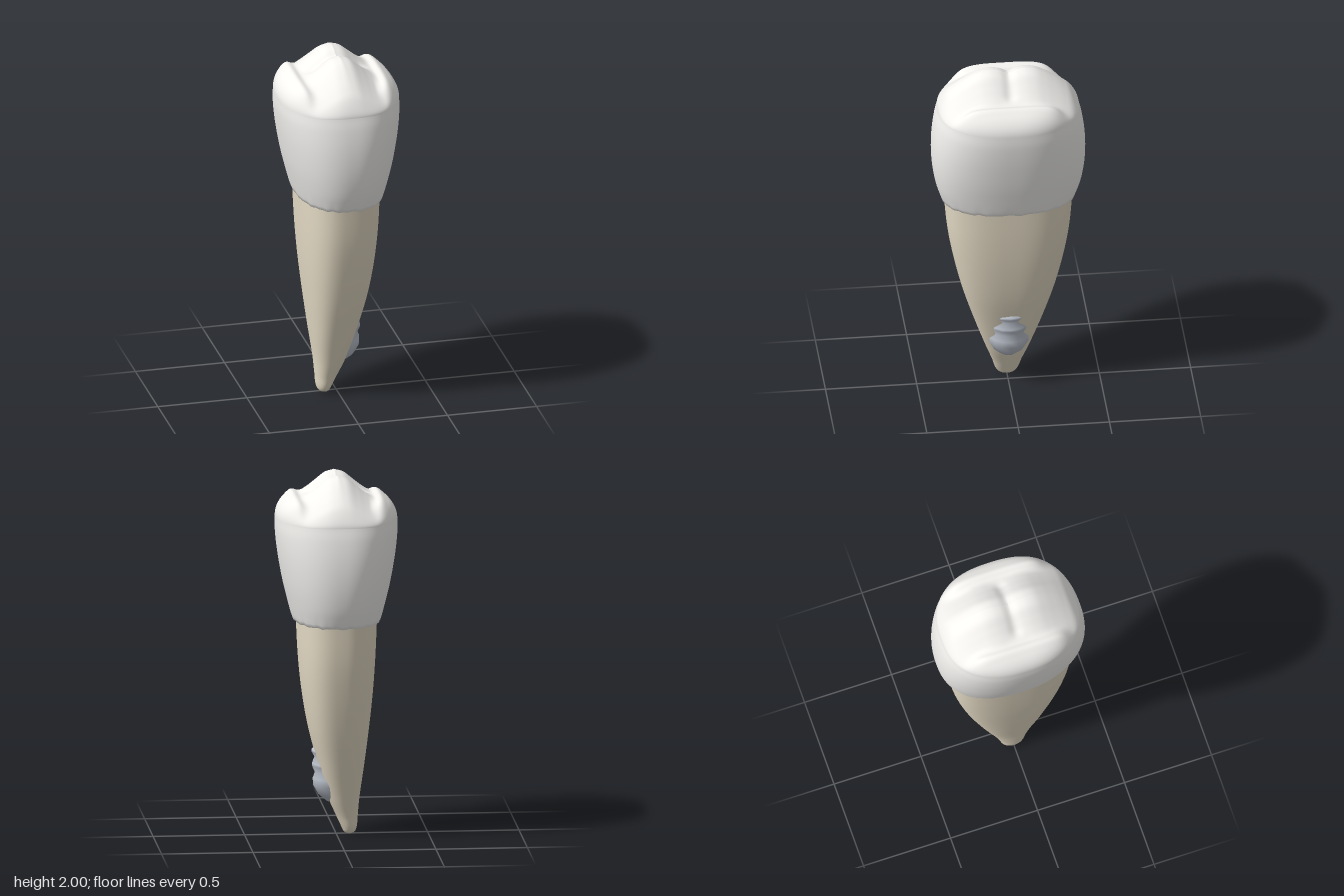
import * as THREE from 'three';

// Smooth interpolation through a short list of [position, value...] rows
function sample(rows, t, k = 1) {
  const n = rows.length - 1;
  if (t <= rows[0][0]) return rows[0][k];
  if (t >= rows[n][0]) return rows[n][k];
  let i = 0;
  while (t > rows[i + 1][0]) i++;
  const slope = (j) => {
    const a = rows[Math.max(j - 1, 0)], b = rows[Math.min(j + 1, n)];
    return (b[k] - a[k]) / (b[0] - a[0]);
  };
  const h = rows[i + 1][0] - rows[i][0], u = (t - rows[i][0]) / h;
  const u2 = u * u, u3 = u2 * u;
  return (2 * u3 - 3 * u2 + 1) * rows[i][k] + (u3 - 2 * u2 + u) * h * slope(i)
    + (3 * u2 - 2 * u3) * rows[i + 1][k] + (u3 - u2) * h * slope(i + 1);
}

// Point on a rounded (superelliptic) outline
function outline(th, rx, rz, e) {
  const c = Math.cos(th), s = Math.sin(th);
  return [Math.sign(c) * rx * Math.abs(c) ** (2 / e), Math.sign(s) * rz * Math.abs(s) ** (2 / e)];
}

// Closed skin over rings; point(ring, angle) gives [x, y, z], rings run upward
function skin(ringCount, seg, point) {
  const pos = [], idx = [];
  for (let i = 0; i < ringCount; i++) {
    for (let j = 0; j < seg; j++) pos.push(...point(i, (j / seg) * Math.PI * 2));
  }
  for (let i = 0; i < ringCount - 1; i++) {
    for (let j = 0; j < seg; j++) {
      const a = i * seg + j, b = i * seg + ((j + 1) % seg);
      idx.push(a, a + seg, b, b, a + seg, b + seg);
    }
  }
  const g = new THREE.BufferGeometry();
  g.setAttribute('position', new THREE.Float32BufferAttribute(pos, 3));
  g.setIndex(idx);
  g.computeVertexNormals();
  return g;
}

function mesh(name, geometry, color) {
  const m = new THREE.Mesh(geometry, new THREE.MeshStandardMaterial({ color }));
  m.name = name;
  return m;
}

// Root: y, left edge, right edge, half depth
const ROOT = [
  [0, -0.075, -0.065, 0.01], [0.008, -0.098, -0.045, 0.04], [0.035, -0.112, -0.03, 0.062],
  [0.1, -0.118, 0, 0.082], [0.2, -0.126, 0.043, 0.118], [0.4, -0.152, 0.102, 0.186],
  [0.6, -0.176, 0.153, 0.248], [0.8, -0.196, 0.186, 0.297], [1.0, -0.209, 0.205, 0.332],
  [1.25, -0.219, 0.216, 0.353],
];

function rootGeometry() {
  const n = 70;
  return skin(n, 80, (i, th) => {
    const y = 1.25 * (i / (n - 1)) ** 1.6;
    const l = sample(ROOT, y, 1), r = sample(ROOT, y, 2);
    const e = 2.1 + 0.6 * THREE.MathUtils.smoothstep(y, 0, 0.4);
    const [x, z] = outline(th, (r - l) / 2, sample(ROOT, y, 3), e);
    return [(l + r) / 2 + x, y, z];
  });
}

// Crown wall: y, half width, half depth
const WALL = [
  [1.2, 0.237, 0.364], [1.22, 0.244, 0.372], [1.3, 0.265, 0.397], [1.4, 0.289, 0.414],
  [1.5, 0.308, 0.42], [1.6, 0.323, 0.416], [1.7, 0.332, 0.402], [1.76, 0.331, 0.387],
];
// Relative chewing-surface height across the width, along the cusps and along the side ridges
const ACROSS = [
  [0, 1], [0.05, 0.95], [0.1, 0.82], [0.15, 0.69], [0.195, 0.61], [0.235, 0.645], [0.27, 0.6], [0.33, 0.52],
];
const CUSPS = [
  [0, 0.98], [0.05, 0.988], [0.1, 1], [0.15, 0.97], [0.2, 0.89], [0.25, 0.79], [0.3, 0.69], [0.345, 0.6], [0.4, 0.4],
];
const RIDGES = [[0, 1], [0.18, 1], [0.24, 0.94], [0.3, 0.72], [0.345, 0.6], [0.4, 0.4]];

function crownGeometry() {
  const lip = 2, wall = 28, top = 60;
  return skin(lip + wall + top, 128, (i, th) => {
    const wave = 0.002 * Math.sin(th * 17) + 0.002 * Math.sin(th * 29 + 1);
    // Lip folding in under the crown to meet the root
    if (i < lip) {
      const k = 0.85 + 0.1 * i;
      const [x, z] = outline(th, 0.237 * k, 0.364 * k, 2.3);
      return [x, 1.206 - 0.004 * i + wave, z];
    }
    if (i < lip + wall) {
      const t = (i - lip) / (wall - 1), y = 1.2 + 0.56 * t;
      const [x, z] = outline(th, sample(WALL, y, 1), sample(WALL, y, 2), 2.3 + 0.1 * t);
      return [x, y + wave * Math.max(0, 1 - t * 8), z];
    }
    // Chewing surface: two cusps, cross groove and side ridges
    const s = Math.cos(((i - lip - wall + 1) / top) * Math.PI / 2);
    const [x, z] = outline(th, 0.331 * s, 0.387 * s, 2.4);
    const ax = Math.abs(x), az = Math.abs(z);
    const groove = 0.065 * Math.exp(-((az / 0.035) ** 2)) * (1 - THREE.MathUtils.smoothstep(ax, 0.12, 0.19));
    const along = THREE.MathUtils.lerp(sample(CUSPS, az), sample(RIDGES, az), THREE.MathUtils.smoothstep(ax, 0.16, 0.22));
    const h = sample(ACROSS, ax) * along - groove;
    return [x, 1.76 + (0.3 * h - 0.06) * Math.sqrt(1 - s ** 8), z];
  });
}

// Threaded post emerging from the side of the root
function postGeometry() {
  const profile = [
    [0.001, 0.18], [0.04, 0.182], [0.085, 0.22], [0.113, 0.27], [0.116, 0.31], [0.104, 0.345],
    [0.12, 0.378], [0.12, 0.392], [0.106, 0.43], [0.122, 0.455], [0.122, 0.468], [0.1, 0.485], [0.001, 0.485],
  ].map(([r, y]) => new THREE.Vector2(r, y));
  return new THREE.LatheGeometry(profile, 16);
}

export function createModel() {
  const group = new THREE.Group();
  group.name = 'tooth';
  const post = mesh('threadedPost', postGeometry(), 0xb9bfc9);
  post.position.x = 0.012;
  group.add(
    mesh('root', rootGeometry(), 0xe6dcc6),
    mesh('crown', crownGeometry(), 0xf3f2ef),
    post,
  );
  return group;
}
